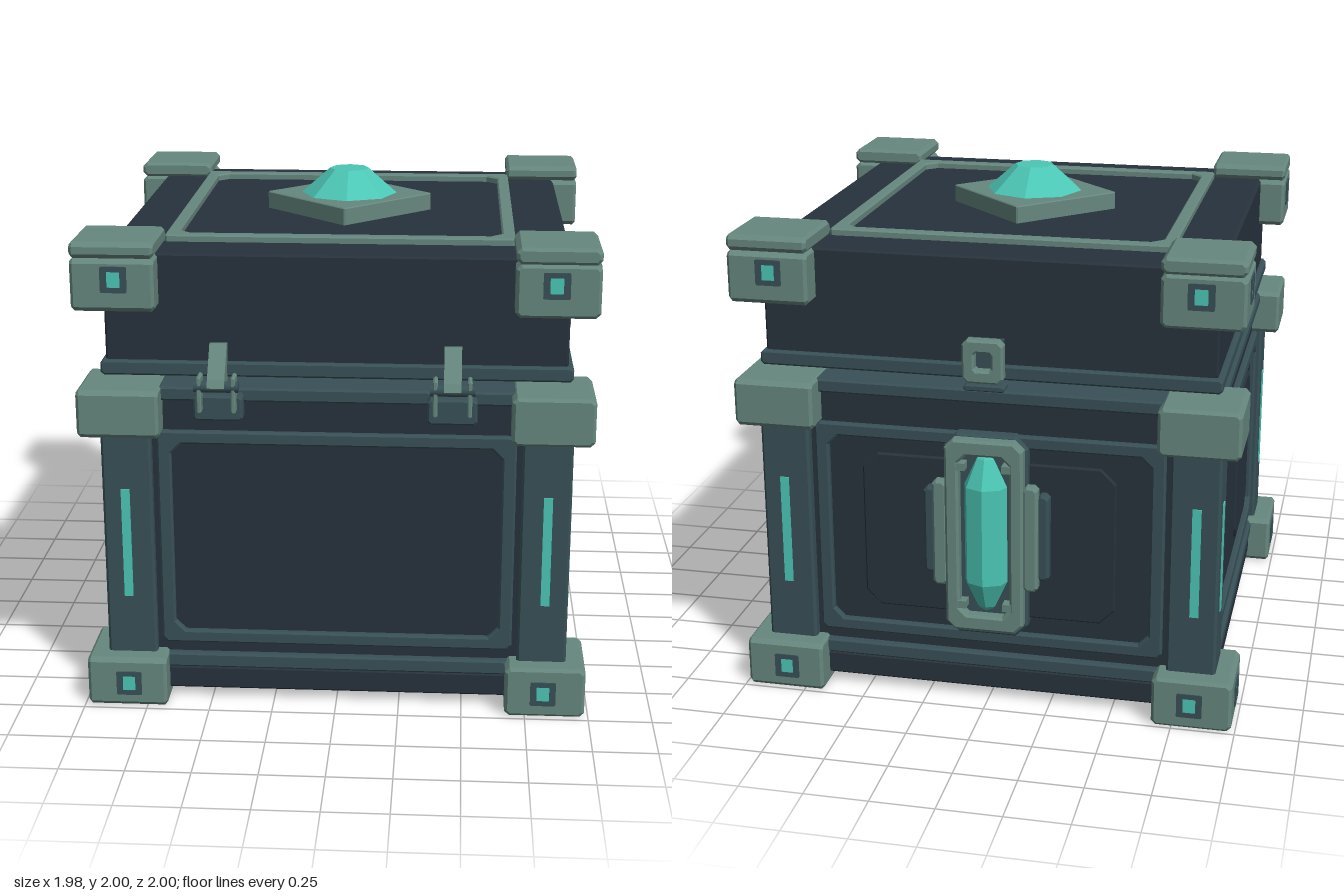
import * as THREE from 'three';

const mat = (name, color) => {
  const m = new THREE.MeshStandardMaterial({ color });
  m.name = name;
  return m;
};

export function createModel() {
  const navy = mat('navy', 0x27323c);
  const slate = mat('slate', 0x385056);
  const sage = mat('sage', 0x66877e);
  const teal = mat('teal', 0x4cc7b6);

  const model = new THREE.Group();
  model.name = 'chest';
  const chest = new THREE.Group();
  chest.name = 'chestBody';
  chest.position.z = -0.005;
  model.add(chest);

  const add = (parent, name, geo, m, x = 0, y = 0, z = 0) => {
    const mesh = new THREE.Mesh(geo, m);
    mesh.name = name;
    mesh.position.set(x, y, z);
    parent.add(mesh);
    return mesh;
  };
  const box = (w, h, d) => new THREE.BoxGeometry(w, h, d);
  const flat = (g) => {
    const f = g.toNonIndexed();
    f.computeVertexNormals();
    return f;
  };

  // Rectangle outline with cut corners
  const outline = (w, h, c, Kind = THREE.Shape) => {
    const a = w / 2, b = h / 2;
    return new Kind([
      [-a + c, -b], [a - c, -b], [a, -b + c], [a, b - c],
      [a - c, b], [-a + c, b], [-a, b - c], [-a, -b + c],
    ].map(([x, y]) => new THREE.Vector2(x, y)));
  };
  const extrude = (shape, depth, bevel = 0) => {
    const g = new THREE.ExtrudeGeometry(shape, {
      depth: depth - 2 * bevel, bevelEnabled: bevel > 0, bevelThickness: bevel,
      bevelSize: bevel, bevelOffset: -bevel, bevelSegments: 1,
    });
    return g.translate(0, 0, bevel - depth / 2);
  };
  const chamferBox = (w, h, d, c) => extrude(outline(w, h, c * 1.5), d, c);
  const frame = (w, h, c, iw, ih, ic, depth, bevel = 0) => {
    const s = outline(w, h, c);
    s.holes.push(outline(iw, ih, ic, THREE.Path));
    return extrude(s, depth, bevel);
  };

  // Body core and horizontal trim bands
  const band = (name, half, y0, y1, m) =>
    add(chest, name, chamferBox(half * 2, y1 - y0, half * 2, 0.008), m, 0, (y0 + y1) / 2, 0);
  band('bodyCore', 0.868, 0.1, 1.3, navy);
  band('baseBand', 0.89, 0.045, 0.14, navy);
  band('lowerTrim', 0.898, 0.14, 0.2, slate);
  band('upperTrim', 0.898, 1.26, 1.315, slate);

  // Lid core, rim and underside
  band('lidUnderside', 0.785, 1.338, 1.37, navy);
  band('lidRim', 0.9, 1.36, 1.418, slate);
  band('lidCore', 0.88, 1.41, 1.833, navy);

  // Lid top frame
  const topFrame = add(chest, 'lidTopFrame',
    frame(1.35, 1.35, 0.01, 1.25, 1.25, 0.045, 0.035, 0.006), sage, 0, 1.8425, 0);
  topFrame.rotation.x = -Math.PI / 2;

  // Diamond plate and faceted gem on the lid
  const plate = add(chest, 'gemPlate', chamferBox(0.485, 0.485, 0.075, 0.004), sage, 0, 1.865, 0);
  plate.rotation.set(-Math.PI / 2, 0, Math.PI / 4);
  add(chest, 'lidGem', flat(new THREE.CylinderGeometry(0.08, 0.2, 0.105, 8)), teal, 0, 1.9525, 0);

  // Four corners, each with blocks, a post and glowing details on two faces
  const P = 0.8275, B = 0.315;
  for (let i = 0; i < 4; i++) {
    const corner = new THREE.Group();
    corner.name = 'corner' + (i + 1);
    corner.rotation.y = i * Math.PI / 2;
    chest.add(corner);
    const block = (name, y0, y1) =>
      add(corner, name, chamferBox(B, y1 - y0, B, 0.012), sage, P, (y0 + y1) / 2, P);
    block('footBlock', 0.005, 0.21);
    block('middleBlock', 1.13, 1.32);
    block('lidBlock', 1.63, 1.832);
    block('lidCap', 1.832, 1.895);
    add(corner, 'post', chamferBox(0.195, 0.96, 0.195, 0.01), slate, 0.8125, 0.67, 0.8125);

    for (const s of [0, 1]) {
      const face = new THREE.Group();
      face.name = 'cornerFace';
      face.rotation.y = s * Math.PI / 2;
      corner.add(face);
      const x = s ? -0.82 : 0.82;
      add(face, 'postLight', box(0.035, 0.45, 0.008), teal, x, 0.675, 0.911);
      for (const y of [0.105, 1.755]) {
        add(face, 'windowFrame', frame(0.1, 0.1, 0.004, 0.05, 0.06, 0.002, 0.008), slate, x, y, 0.986);
        add(face, 'windowLight', box(0.05, 0.06, 0.005), teal, x, y, 0.984);
      }
    }
  }

  // Four wall panels: plain at the front, split panels on the other sides
  ['front', 'left', 'back', 'right'].forEach((side, i) => {
    const wall = new THREE.Group();
    wall.name = side + 'Wall';
    wall.rotation.y = i * Math.PI / 2;
    chest.add(wall);
    add(wall, 'panelFrame', frame(1.39, 0.89, 0.02, 1.28, 0.785, 0.04, 0.04, 0.008), slate, 0, 0.69, 0.872);
    if (i === 0) return;
    for (const s of [-1, 1]) {
      add(wall, 'octagonPanel', extrude(outline(0.48, 0.65, 0.06), 0.02, 0.006), navy, s * 0.265, 0.695, 0.873);
    }
    if (i !== 2) add(wall, 'panelLight', box(0.02, 0.49, 0.008), teal, 0, 0.695, 0.873);
  });

  // Front hinges
  const armSide = new THREE.Shape([
    [0.86, 1.36], [0.95, 1.325], [0.985, 1.325], [1.0, 1.345],
    [0.985, 1.375], [0.895, 1.49], [0.86, 1.49],
  ].map(([z, y]) => new THREE.Vector2(z, y)));
  for (const x of [-0.445, 0.445]) {
    const hinge = new THREE.Group();
    hinge.name = 'hinge';
    hinge.position.x = x;
    model.add(hinge);
    add(hinge, 'hingeArm', extrude(armSide, 0.066).rotateY(-Math.PI / 2), sage);
    add(hinge, 'hingeBase', chamferBox(0.19, 0.1, 0.07, 0.008), slate, 0, 1.25, 0.915);
    for (const s of [-1, 1]) {
      add(hinge, 'hingeEar', chamferBox(0.018, 0.145, 0.07, 0.004), sage, s * 0.065, 1.315, 0.96);
    }
    const pin = add(hinge, 'hingePin', new THREE.CylinderGeometry(0.022, 0.022, 0.17, 12), slate, 0, 1.345, 0.975);
    pin.rotation.z = Math.PI / 2;
  }

  // Back lock with a crystal, built facing outward
  const lock = new THREE.Group();
  lock.name = 'lock';
  lock.rotation.y = Math.PI;
  chest.add(lock);
  add(lock, 'lockBacking', extrude(outline(0.33, 0.84, 0.05), 0.06, 0.008), slate, 0, 0.72, 0.89);
  add(lock, 'lockFrame', frame(0.31, 0.8, 0.035, 0.2, 0.67, 0.03, 0.055, 0.01), sage, 0, 0.73, 0.937);
  for (const s of [-1, 1]) {
    add(lock, 'lockBracket', chamferBox(0.06, 0.44, 0.05, 0.01), sage, s * 0.18, 0.73, 0.925);
    add(lock, 'lockWing', chamferBox(0.05, 0.36, 0.05, 0.01), slate, s * 0.225, 0.73, 0.9);
    for (const y of [0.44, 1.02]) {
      add(lock, 'crystalClaw', box(0.035, 0.03, 0.05), sage, s * 0.09, y, 0.94);
    }
  }
  const crystalProfile = [[0, -0.36], [0.045, -0.31], [0.095, -0.2], [0.095, 0.2], [0.045, 0.31], [0, 0.36]]
    .map(([r, y]) => new THREE.Vector2(r, y));
  add(lock, 'crystal', flat(new THREE.LatheGeometry(crystalProfile, 8)), teal, 0, 0.735, 0.895);

  // Lid clasp above the lock
  add(lock, 'claspRing', frame(0.16, 0.17, 0.02, 0.065, 0.07, 0.008, 0.05, 0.008), sage, 0, 1.445, 0.935);
  add(lock, 'claspPlate', box(0.14, 0.15, 0.04), slate, 0, 1.445, 0.895);
  add(lock, 'claspTongue', chamferBox(0.16, 0.025, 0.07, 0.005), slate, 0, 1.333, 0.9);

  return model;
}
